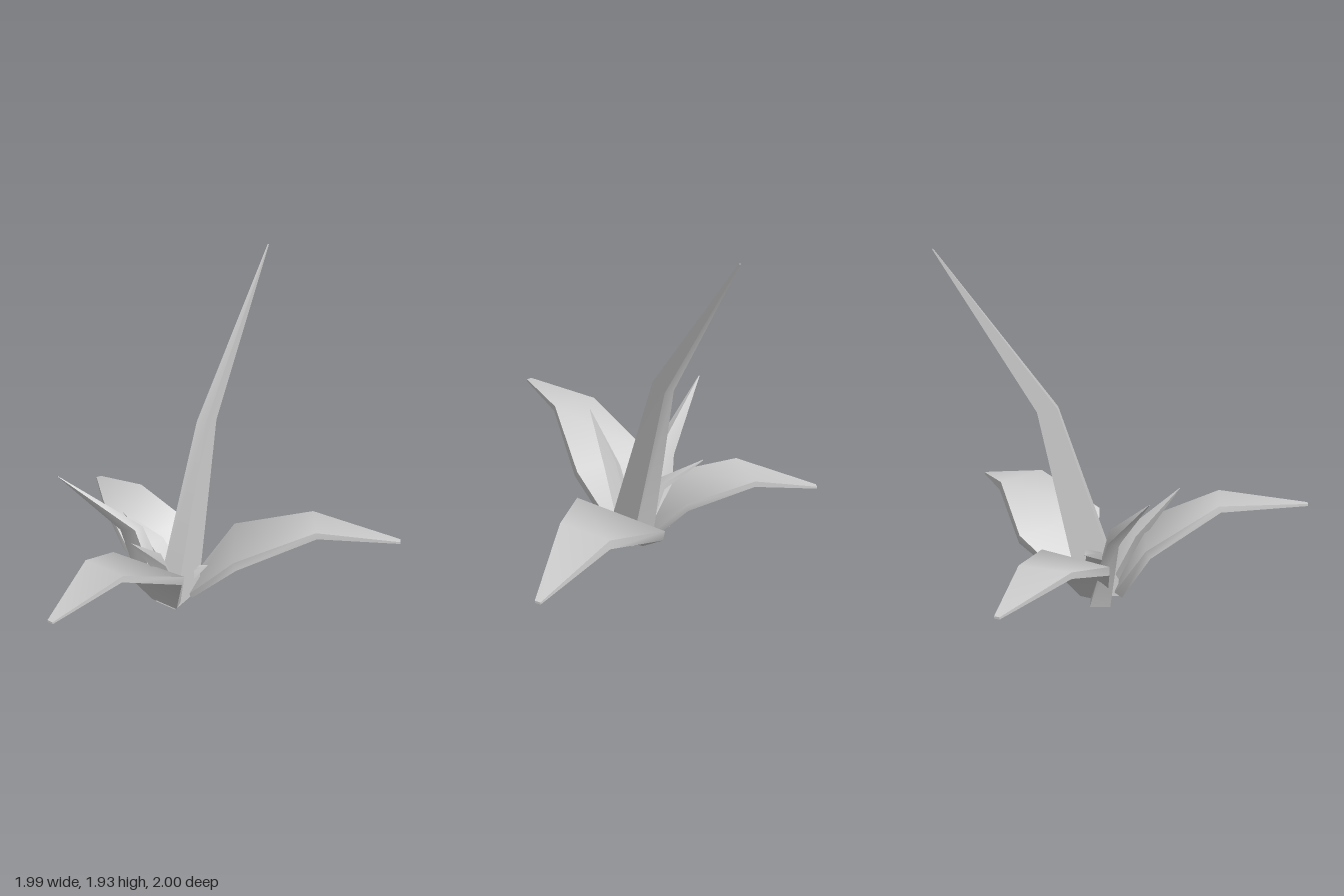
import * as THREE from 'three';
import { toCreasedNormals } from 'three/addons/utils/BufferGeometryUtils.js';

const leafGrey = new THREE.MeshStandardMaterial({ color: 0xcccccc });
leafGrey.name = 'leafGrey';

// Four-sided tapering blade. Each station is [cornerA, cornerB, depth]:
// the section runs A, B, B + depth, A + depth.
function blade(name, stations) {
  const rings = stations.map(([a, b, d]) => {
    const A = new THREE.Vector3(...a), B = new THREE.Vector3(...b), D = new THREE.Vector3(...d);
    return [A, B, B.clone().add(D), A.clone().add(D)];
  });
  const tris = [];
  const quad = (a, b, c, d) => tris.push([a, b, c], [a, c, d]);
  for (let i = 0; i < rings.length - 1; i++) {
    const p = rings[i], q = rings[i + 1];
    for (let k = 0; k < 4; k++) {
      const n = (k + 1) % 4;
      quad(p[k], p[n], q[n], q[k]);
    }
  }
  quad(...[...rings[0]].reverse());
  quad(...rings[rings.length - 1]);

  // Turn the faces outward whichever way the section was listed
  const origin = rings[0][0];
  let volume = 0;
  for (const t of tris) {
    const [u, v, w] = t.map((p) => p.clone().sub(origin));
    volume += u.dot(v.cross(w));
  }
  const positions = tris.flatMap(([a, b, c]) => (volume < 0 ? [a, c, b] : [a, b, c]))
    .flatMap((p) => [p.x, p.y, p.z]);
  const geometry = new THREE.BufferGeometry();
  geometry.setAttribute('position', new THREE.Float32BufferAttribute(positions, 3));
  const mesh = new THREE.Mesh(toCreasedNormals(geometry, 0.9), leafGrey);
  mesh.name = name;
  return mesh;
}

export function createModel() {
  const plant = new THREE.Group();
  plant.name = 'plant';
  plant.add(
    // Broad arching leaves
    blade('frontLeaf', [
      [[-0.14, 0.03, -0.05], [0.03, 0.03, -0.05], [0, -0.03, 0.04]],
      [[-0.32, 0.335, 0.12], [0.165, 0.355, 0.105], [0, -0.04, 0.025]],
      [[-0.2, 0.55, 0.51], [0.06, 0.56, 0.52], [0, -0.035, 0.01]],
      [[-0.055, 0.52, 1], [-0.022, 0.52, 1], [0, -0.012, 0]],
    ]),
    blade('leftLeaf', [
      [[0.01, 0.01, -0.15], [-0.06, 0.01, -0.26], [0.03, -0.01, -0.01]],
      [[0.32, 0.365, -0.15], [0.045, 0.29, -0.585], [0.015, -0.05, -0.005]],
      [[0.635, 0.495, -0.505], [0.485, 0.465, -0.735], [0.005, -0.045, -0.01]],
      [[0.99, 0.375, -0.865], [0.975, 0.375, -0.893], [0, -0.012, 0]],
    ]),
    blade('rightLeaf', [
      [[-0.18, 0.02, -0.09], [-0.1, 0.02, -0.24], [-0.02, -0.02, 0]],
      [[-0.39, 0.275, -0.07], [-0.2, 0.3, -0.44], [-0.01, -0.045, 0]],
      [[-0.68, 0.355, -0.25], [-0.6, 0.36, -0.525], [0, -0.035, 0]],
      [[-0.998, 0.245, -0.58], [-0.985, 0.245, -0.608], [0, -0.012, 0]],
    ]),
    // Tall bent spike
    blade('tallSpike', [
      [[-0.115, 0, -0.005], [0.025, 0, -0.005], [0, 0, -0.235]],
      [[-0.078, 1.05, -0.355], [-0.02, 1.05, -0.355], [0, -0.02, -0.11]],
      [[-0.05, 1.9, -0.995], [-0.045, 1.9, -0.995], [0, -0.003, -0.005]],
    ]),
    // Short spikes around the base
    blade('rightSpike', [
      [[-0.275, 0, -0.07], [-0.14, 0, -0.07], [0, 0, -0.11]],
      [[-0.375, 0.39, -0.02], [-0.265, 0.43, -0.015], [0.01, 0, -0.06]],
      [[-0.693, 0.715, 0.14], [-0.69, 0.717, 0.142], [0.002, 0, -0.004]],
    ]),
    blade('frontSpike', [
      [[-0.11, 0.02, -0.1], [-0.047, 0.07, -0.13], [0.063, -0.05, 0.03]],
      [[-0.095, 0.34, 0.065], [-0.047, 0.385, 0.035], [0.053, -0.045, 0.03]],
      [[-0.048, 0.603, 0.303], [-0.046, 0.606, 0.304], [0.002, -0.003, 0]],
    ]),
    blade('sideSpike', [
      [[-0.1, 0.02, -0.12], [-0.1, 0.02, -0.22], [0.05, 0.05, 0]],
      [[-0.25, 0.26, -0.115], [-0.22, 0.27, -0.2], [0.02, 0.035, 0]],
      [[-0.485, 0.372, -0.193], [-0.485, 0.372, -0.197], [0, 0.004, 0]],
    ]),
    blade('backSpike', [
      [[-0.03, 0.02, -0.17], [-0.08, 0.02, -0.22], [-0.03, 0.03, 0.02]],
      [[0.04, 0.13, -0.215], [0.0, 0.13, -0.25], [-0.02, 0.03, 0.01]],
      [[0.063, 0.17, -0.275], [0.06, 0.17, -0.277], [0, 0.003, 0]],
    ]),
  );
  return plant;
}
